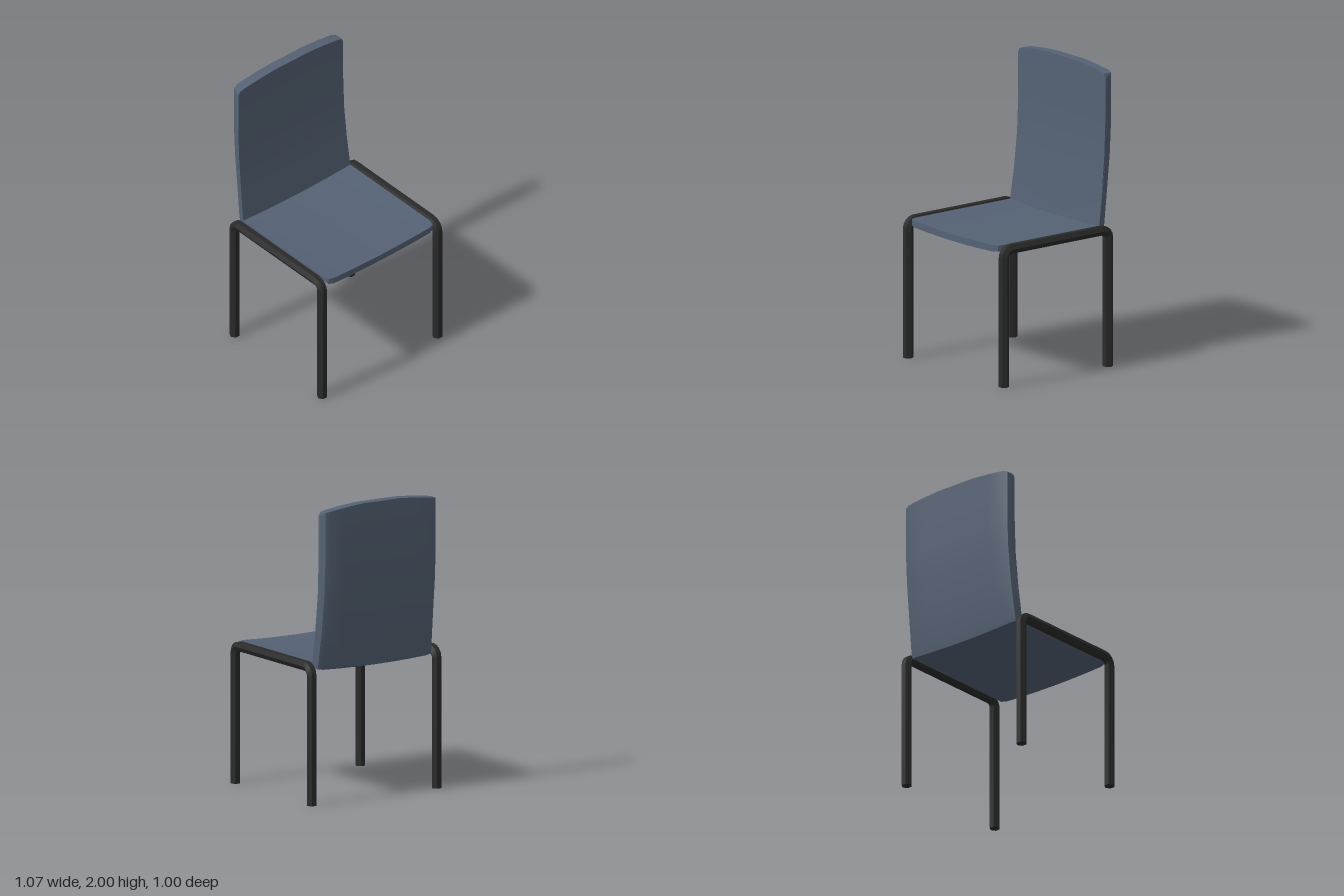
import * as THREE from 'three';
import { toCreasedNormals } from 'three/addons/utils/BufferGeometryUtils.js';

// Skin a row of closed rings (arrays of [x, y, z]) and cap both ends;
// contour is the counter-clockwise 2D outline used to fill the caps
function loft(rings, contour) {
  const n = rings[0].length, index = [];
  for (let i = 0; i < rings.length - 1; i++) {
    for (let j = 0; j < n; j++) {
      const k = (j + 1) % n;
      const a = i * n + j, b = i * n + k, c = b + n, d = a + n;
      index.push(a, b, c, a, c, d);
    }
  }
  const last = (rings.length - 1) * n;
  for (const [a, b, c] of THREE.ShapeUtils.triangulateShape(contour, [])) {
    index.push(c, b, a, last + a, last + b, last + c);
  }
  const geometry = new THREE.BufferGeometry();
  geometry.setAttribute('position', new THREE.Float32BufferAttribute(rings.flat(2), 3));
  geometry.setIndex(index);
  return toCreasedNormals(geometry, 0.5);
}

// Seat and backrest in one shell: an L-shaped side profile swept across x
function seatShell() {
  // [z, y]: front edge, seat top, up the front of the back, down its rear
  const profile = [
    [0.49, 0.905], [0.49, 0.95], [-0.365, 0.95], [-0.39, 1.15], [-0.415, 1.4],
    [-0.425, 1.65], [-0.425, 2], [-0.495, 2], [-0.495, 1.62], [-0.485, 1.42],
    [-0.46, 1.18], [-0.43, 0.95], [-0.42, 0.905],
  ];
  // [fraction of half width, drop of the top edge, rounding of the edges]
  const half = [
    [1, 0.06, 0.055], [0.97, 0.033, 0.012], [0.89, 0.025, 0],
    [0.62, 0.01, 0], [0.33, 0, 0],
  ];
  const mirrored = half.map(([u, d, r]) => [-u, d, r]).reverse();
  const columns = [...half, [0, 0, 0], ...mirrored];

  const rings = columns.map(([u, drop, round]) => profile.map(([z, y], i) => {
    const width = 0.465 - 0.01 * Math.min(1, Math.max(0, (y - 0.95) / 0.3));
    let py = y, pz = z;
    if (i < 2) pz -= round;                 // front corners of the seat
    if (i > 6) pz += round;                 // rear edges of the back
    if (y < 0.92) py += round * 0.25;       // lower edges of the seat
    if (y < 1) py -= 0.015 * (1 - u * u);   // dished seat
    if (y === 2) py -= drop;                // arched top
    return [u * width, py, pz];
  }));
  return loft(rings, rings[0].map(([, y, z]) => new THREE.Vector2(z, y)));
}

// Six-sided tube bent into a front leg, side rail and back leg
function legFrame() {
  const radius = 0.035, bend = 0.055, top = 0.927, back = -0.41, front = 0.47, steps = 4;
  const path = [[0, back, 0]];              // [y, z, heading]
  for (const [centre, start] of [[back + bend, 0], [front - bend, Math.PI / 2]]) {
    for (let i = 0; i <= steps; i++) {
      const t = start + (i / steps) * Math.PI / 2;
      path.push([top - bend + bend * Math.sin(t), centre - bend * Math.cos(t), t]);
    }
  }
  path.push([0, front, Math.PI]);

  const hexagon = Array.from({ length: 6 }, (_, i) =>
    new THREE.Vector2(Math.cos(i * Math.PI / 3), Math.sin(i * Math.PI / 3)).multiplyScalar(radius));
  const rings = path.map(([y, z, t]) => hexagon.map((p) =>
    [p.x, y + p.y * Math.sin(t), z - p.y * Math.cos(t)]));
  return loft(rings, hexagon);
}

export function createModel() {
  const group = new THREE.Group();
  group.name = 'chair';

  const shellMaterial = new THREE.MeshStandardMaterial({ color: 0x556274 });
  const tubeMaterial = new THREE.MeshStandardMaterial({ color: 0x2a2a2a });

  const shell = new THREE.Mesh(seatShell(), shellMaterial);
  shell.name = 'seatAndBackrest';
  group.add(shell);

  const tube = legFrame();
  for (const [name, x] of [['leftLegFrame', 0.5], ['rightLegFrame', -0.5]]) {
    const frame = new THREE.Mesh(tube, tubeMaterial);
    frame.name = name;
    frame.position.x = x;
    group.add(frame);
  }
  return group;
}
